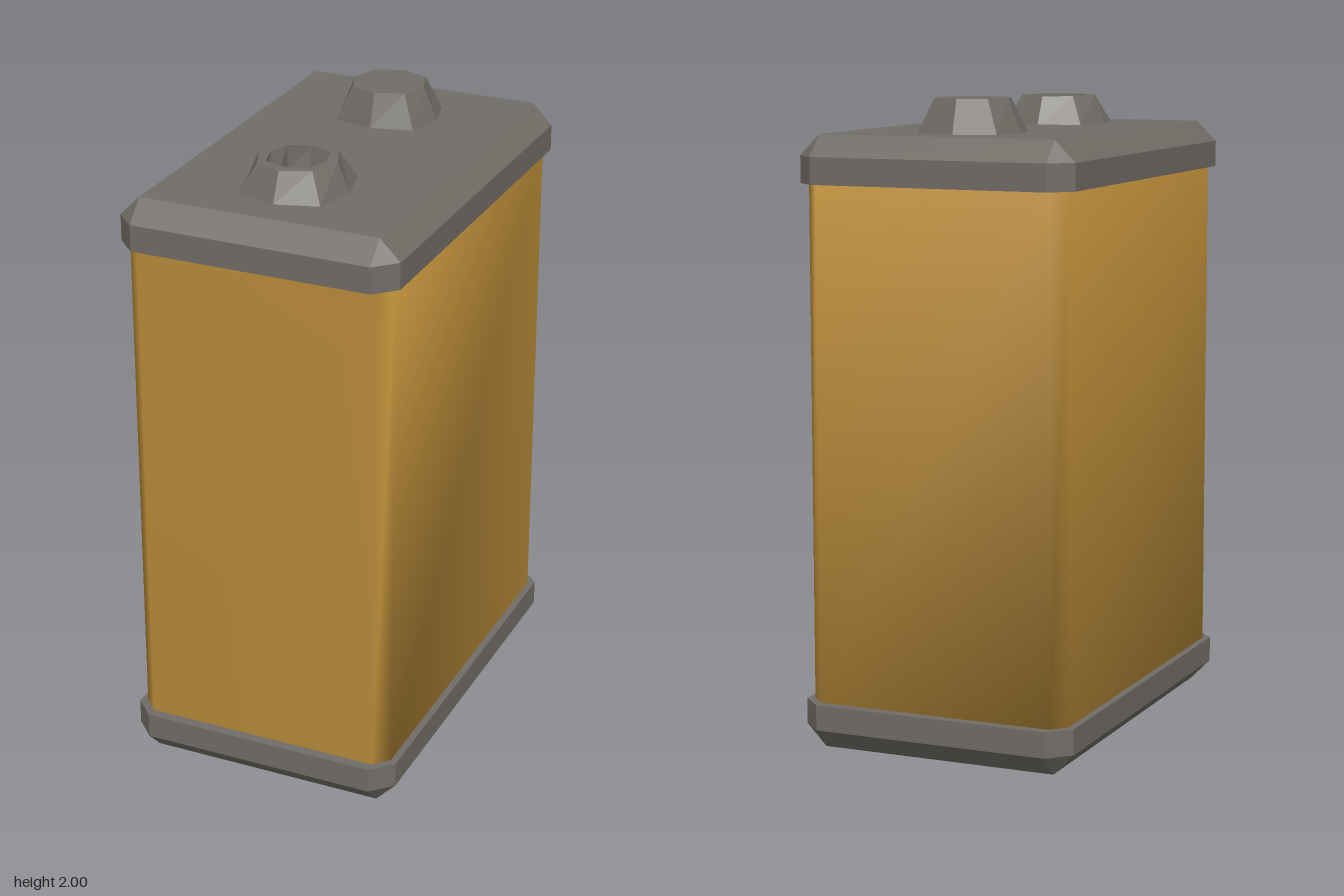
import * as THREE from 'three';

// Skin a stack of eight-point rings (listed bottom to top, anticlockwise from above)
function loft(rings, smooth = false, closeBottom = true) {
  const points = rings.flat();
  const n = 8, index = [];
  const tri = (a, b, c) => {
    const area = new THREE.Triangle(points[a], points[b], points[c]).getArea();
    if (area > 1e-8) index.push(a, b, c);
  };
  for (let r = 0; r < rings.length - 1; r++) {
    for (let i = 0; i < n; i++) {
      const j = (i + 1) % n, a = r * n, b = a + n;
      tri(a + i, a + j, b + j);
      tri(a + i, b + j, b + i);
    }
  }
  const top = (rings.length - 1) * n;
  for (let i = 1; i < n - 1; i++) {
    tri(top, top + i, top + i + 1);
    if (closeBottom) tri(0, i + 1, i);
  }
  let geometry = new THREE.BufferGeometry().setFromPoints(points);
  geometry.setIndex(index);
  if (!smooth) geometry = geometry.toNonIndexed();
  geometry.computeVertexNormals();
  return geometry;
}

// Rectangle of half sizes w, d with corners cut by c
function cutRect(w, d, c, y) {
  return [
    [w, d - c], [w, -d + c], [w - c, -d], [-w + c, -d],
    [-w, -d + c], [-w, d - c], [-w + c, d], [w - c, d],
  ].map(([x, z]) => new THREE.Vector3(x, y, z));
}

// Octagon with points on the axes (x, z) and on the diagonals (dx, dz)
function octagon(x, z, dx, dz, y) {
  return [
    [x, 0], [dx, -dz], [0, -z], [-dx, -dz],
    [-x, 0], [-dx, dz], [0, z], [dx, dz],
  ].map(([px, pz]) => new THREE.Vector3(px, y, pz));
}

export function createModel() {
  const model = new THREE.Group();
  const metal = new THREE.MeshStandardMaterial({ color: 0x706c66, flatShading: true });
  const casing = new THREE.MeshStandardMaterial({ color: 0xb88a38 });

  const add = (name, geometry, material, z = 0) => {
    const mesh = new THREE.Mesh(geometry, material);
    mesh.name = name;
    mesh.position.z = z;
    model.add(mesh);
  };

  // Softly shaded casing with narrow cut corners
  add('casing', loft([
    cutRect(0.425, 0.647, 0.045, 0.13),
    cutRect(0.425, 0.647, 0.045, 1.76),
  ], true), casing);

  // Bevelled end caps
  add('bottomCap', loft([
    cutRect(0.382, 0.615, 0, 0),
    cutRect(0.447, 0.68, 0.065, 0.067),
    cutRect(0.447, 0.68, 0.065, 0.147),
  ]), metal);
  add('topCap', loft([
    cutRect(0.447, 0.68, 0.065, 1.747),
    cutRect(0.447, 0.68, 0.065, 1.83),
    cutRect(0.382, 0.615, 0, 1.895),
  ]), metal);

  // Solid terminal at the back
  add('solidTerminal', loft([
    octagon(0.162, 0.151, 0.131, 0.119, 1.895),
    octagon(0.117, 0.12, 0.088, 0.086, 2),
  ], false, false), metal, -0.341);

  // Hollow terminal at the front: outer slope, rim, then down to a square floor
  add('hollowTerminal', loft([
    octagon(0.166, 0.174, 0.132, 0.134, 1.895),
    octagon(0.127, 0.135, 0.089, 0.094, 1.984),
    octagon(0.091, 0.095, 0.07, 0.072, 1.984),
    octagon(0.07, 0.072, 0.07, 0.072, 1.9),
  ], false, false), metal, 0.336);

  return model;
}
